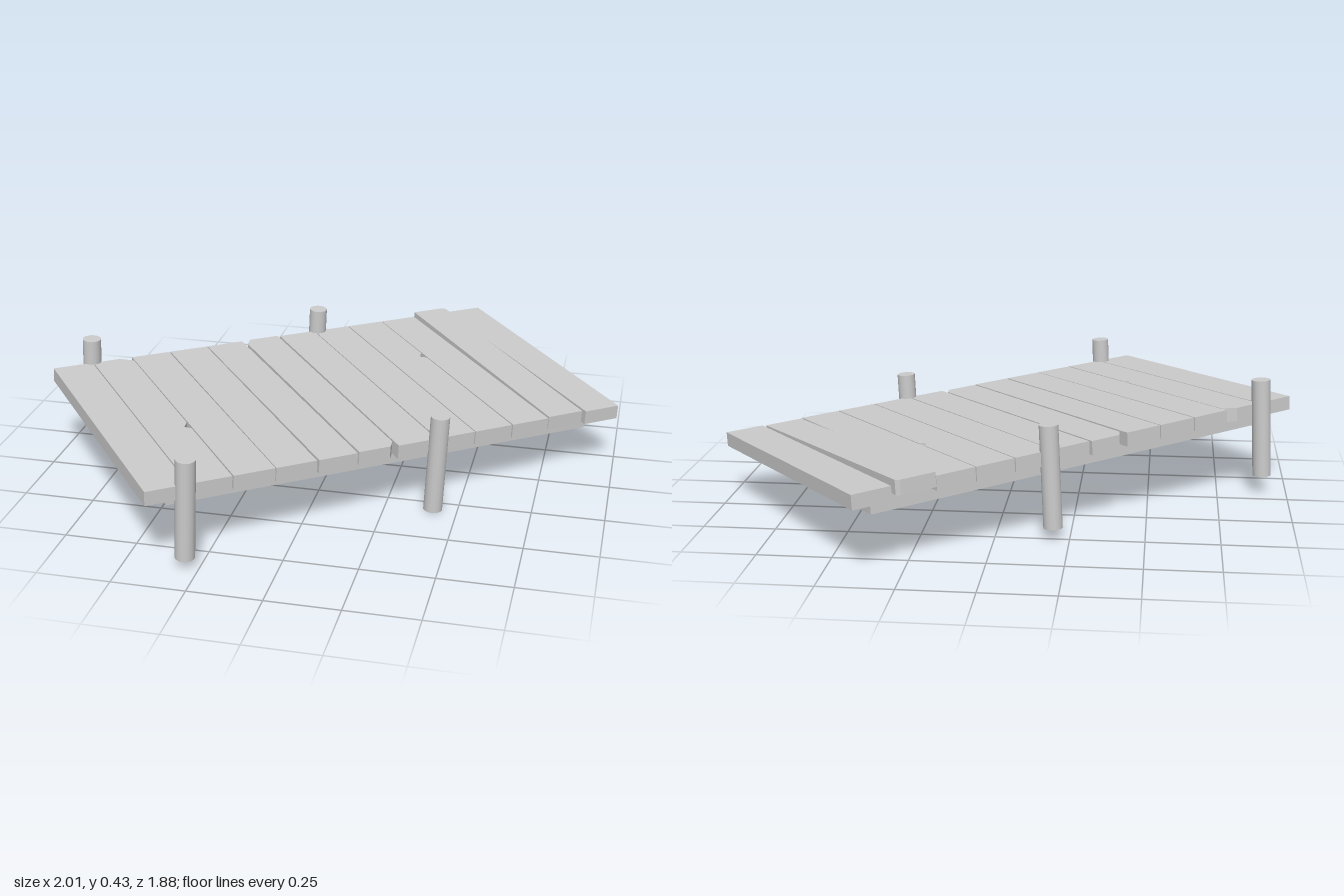
import * as THREE from 'three';

const material = new THREE.MeshStandardMaterial({ color: 0xcccccc });

const PLANKS = 12, LENGTH = 1.79, HALF = 0.492, THICK = 0.05;
const STEP = LENGTH / PLANKS;

// Outline damage per plank: cut corners [along, across] and a side notch position.
const DAMAGE = {
  1: { backRight: [0.045, 0.03], notch: 0.11 },
  5: { backLeft: [0.025, 0.035], frontRight: [0.022, 0.03] },
  8: { notch: -0.137 },
  10: { backRight: [0.012, 0.012] },
};
// Small loosenesses: turn, sideways slip, narrowing and lift of the back end.
const LOOSE = {
  2: { turn: 0.002 },
  4: { turn: 0.004, narrow: 0.004 },
  5: { narrow: 0.006, slip: -0.005 },
  6: { turn: -0.002 },
  9: { turn: 0.002 },
  10: { turn: 0.005, narrow: 0.006, slip: -0.008, lift: 0.016 },
  11: { narrow: 0.006, shift: 0.003 },
};

function plankGeometry(width, { backLeft, backRight, frontRight, notch } = {}) {
  const w = width / 2, points = [];
  const corner = (sx, sz, cut, flip) => {
    if (!cut) return points.push([sx * w, sz * HALF]);
    const pair = [[sx * w, sz * (HALF - cut[1])], [sx * (w - cut[0]), sz * HALF]];
    points.push(...(flip ? pair.reverse() : pair));
  };
  corner(-1, -1, backLeft, false);
  corner(1, -1, backRight, true);
  if (notch !== undefined) {
    points.push([w, notch - 0.025], [w - 0.02, notch + 0.004], [w, notch + 0.02]);
  }
  corner(1, 1, frontRight, false);
  corner(-1, 1);
  const shape = new THREE.Shape(points.map(([x, y]) => new THREE.Vector2(x, y)));
  return new THREE.ExtrudeGeometry(shape, { depth: THICK, bevelEnabled: false }).rotateX(Math.PI / 2);
}

function addMesh(parent, name, geometry, x, y, z) {
  const mesh = new THREE.Mesh(geometry, material);
  mesh.name = name;
  mesh.position.set(x, y, z);
  parent.add(mesh);
  return mesh;
}

export function createModel() {
  const model = new THREE.Group();
  model.name = 'woodenDock';

  // The dock lies diagonally and leans slightly along both of its axes.
  const dock = new THREE.Group();
  dock.name = 'tiltedDock';
  const along = new THREE.Vector3(0.78, -0.0345, -0.625).normalize();
  const across = new THREE.Vector3(0.625, -0.038, 0.78).normalize();
  const up = new THREE.Vector3().crossVectors(across, along).normalize();
  across.crossVectors(along, up);
  dock.quaternion.setFromRotationMatrix(new THREE.Matrix4().makeBasis(along, up, across));
  dock.position.y = 0.294;
  model.add(dock);

  // Deck planks
  const deck = new THREE.Group();
  deck.name = 'deck';
  dock.add(deck);
  for (let i = 0; i < PLANKS; i++) {
    const { turn = 0, slip = 0, narrow = 0, lift = 0, shift = 0 } = LOOSE[i] ?? {};
    const x = -LENGTH / 2 + STEP * (i + 0.5) + shift;
    const geometry = plankGeometry(STEP - 0.004 - narrow, DAMAGE[i]);
    const plank = addMesh(deck, 'plank', geometry, x, lift / 2, slip);
    plank.rotation.set(lift, turn, 0);
  }

  // Two joists under the deck
  for (const side of [-1, 1]) {
    addMesh(dock, 'joist', new THREE.BoxGeometry(1.6, 0.05, 0.08), 0, -0.074, side * 0.39);
  }

  // Round posts at the deck edges
  const postGeometry = new THREE.CylinderGeometry(0.033, 0.033, 0.355, 16);
  for (const [x, z] of [[-0.743, -0.507], [0.166, -0.497], [-0.757, 0.49], [0.148, 0.502]]) {
    addMesh(dock, 'post', postGeometry, x, -0.088, z);
  }
  return model;
}
